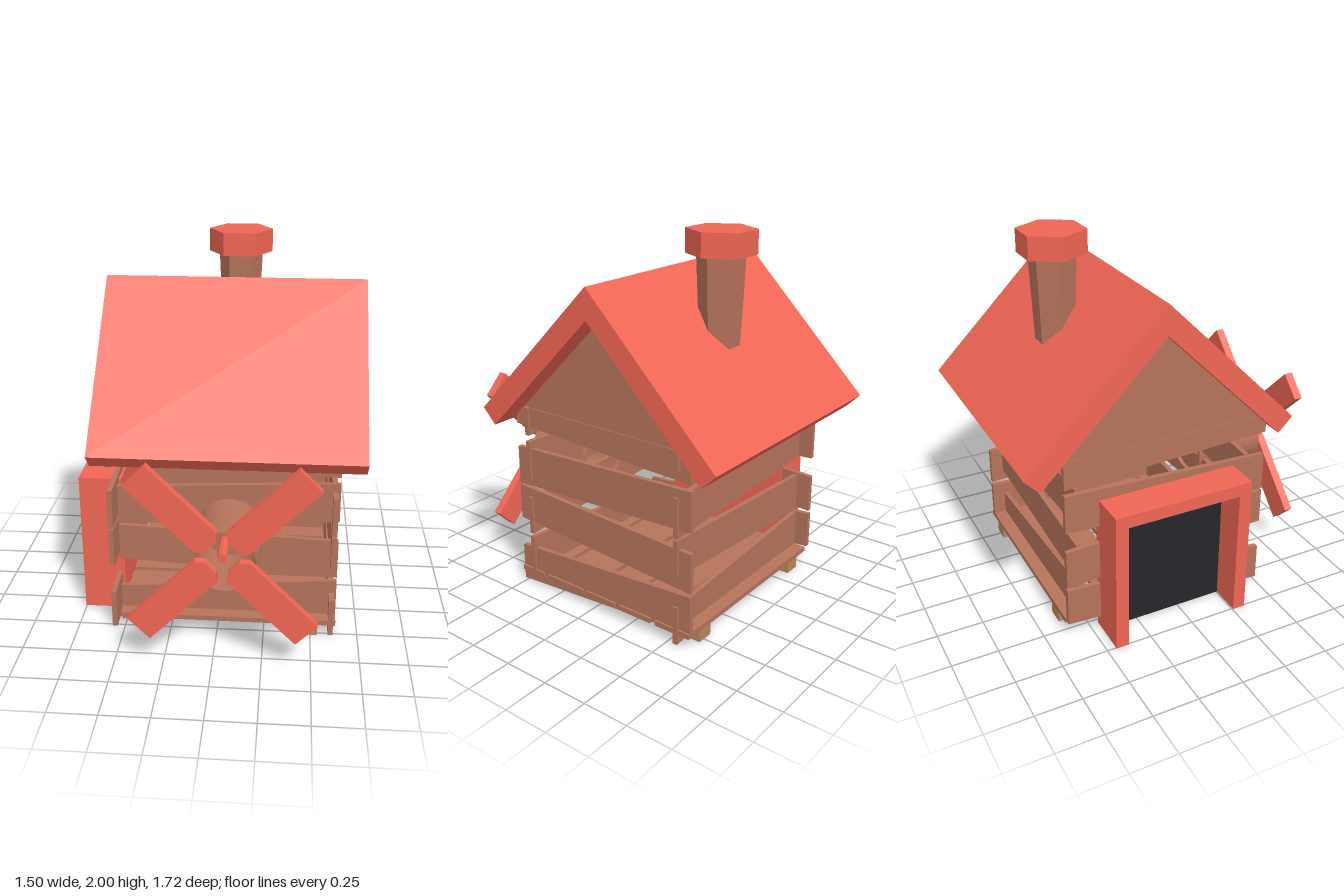
import * as THREE from 'three';
import { toCreasedNormals } from 'three/addons/utils/BufferGeometryUtils.js';

const mat = (color) => new THREE.MeshStandardMaterial({ color, flatShading: true });

export function createModel() {
  const model = new THREE.Group();
  const red = mat(0xf06654), brown = mat(0xb5735b), wood = mat(0xb58a5e), dark = mat(0x24262b);
  const tubeMat = new THREE.MeshStandardMaterial({ color: 0xb5735b });

  const add = (name, geometry, material, x = 0, y = 0, z = 0, parent = model) => {
    const mesh = new THREE.Mesh(geometry, material);
    mesh.name = name;
    mesh.position.set(x, y, z);
    parent.add(mesh);
    return mesh;
  };
  // Box given by its two extreme corners
  const block = (name, material, x0, x1, y0, y1, z0, z1, parent = model) =>
    add(name, new THREE.BoxGeometry(x1 - x0, y1 - y0, z1 - z0), material,
      (x0 + x1) / 2, (y0 + y1) / 2, (z0 + z1) / 2, parent);
  const outline = (points) => new THREE.Shape(points.map(([x, y]) => new THREE.Vector2(x, y)));
  const extrude = (shape, depth, curveSegments = 12) =>
    new THREE.ExtrudeGeometry(shape, { depth, bevelEnabled: false, curveSegments });

  // Crooked plank walls: [bottom, top] at the start and at the end of each plank
  const rows = [
    [0.005, 0.215, 0.085, 0.295],
    [0.385, 0.585, 0.315, 0.53],
    [0.595, 0.81, 0.645, 0.86],
    [0.945, 1.05, 0.895, 1.05],
  ];
  const wall = (name, x, z, turn, flip) => {
    const group = new THREE.Group();
    group.name = name;
    for (const [a0, a1, b0, b1] of rows) {
      const geometry = new THREE.BoxGeometry(1.155, 1, 0.027);
      const p = geometry.attributes.position;
      for (let i = 0; i < p.count; i++) {
        const start = (p.getX(i) < 0) !== flip, top = p.getY(i) > 0;
        p.setY(i, start ? (top ? a1 : a0) : (top ? b1 : b0));
      }
      geometry.computeVertexNormals();
      add('plank', geometry, brown, 0, 0, 0, group);
    }
    group.position.set(x, 0, z);
    group.rotation.y = turn;
    model.add(group);
  };
  wall('frontWall', 0.055, 0.436, 0, false);
  wall('backWall', 0.055, -0.55, 0, true);
  wall('leftWall', 0.607, -0.057, Math.PI / 2, false);
  wall('rightWall', -0.553, -0.057, Math.PI / 2, false);

  // Floor boards on two runners
  for (const [z0, z1] of [[0.36, 0.52], [0.07, 0.33], [-0.155, 0.04], [-0.39, -0.185], [-0.635, -0.42]])
    block('floorBoard', brown, -0.52, 0.632, 0.063, 0.09, z0, z1);
  for (const x of [-0.38, 0.49])
    block('runner', wood, x - 0.047, x + 0.047, 0, 0.063, -0.635, 0.52);

  // Gables and roof, drawn in (-z, y) and extruded along x
  const alongX = (name, points, x0, x1, material) => {
    const mesh = add(name, extrude(outline(points), x1 - x0), material, x0, 0, 0);
    mesh.rotation.y = Math.PI / 2;
  };
  const gable = [[-0.465, 1.05], [0.695, 1.05], [0.115, 1.63]];
  alongX('leftGable', gable, 0.59, 0.615, brown);
  alongX('rightGable', gable, -0.562, -0.537, brown);
  alongX('roof', [[-0.55, 0.965], [0.115, 1.63], [0.78, 0.965], [0.86, 1.045],
    [0.115, 1.79], [-0.63, 1.045]], -0.64, 0.75, red);

  // Six-sided chimney, wider at the top, with a cap
  const hex = (name, rTop, rBottom, y0, y1, material) => {
    const mesh = add(name, new THREE.CylinderGeometry(rTop, rBottom, y1 - y0, 6), material,
      0.065, (y0 + y1) / 2, -0.4);
    mesh.rotation.y = Math.PI / 6;
    mesh.geometry.rotateY(Math.PI / 3);
    mesh.rotation.y = Math.PI / 2;
    mesh.scale.x = 1.05;
  };
  hex('chimney', 0.12, 0.098, 1.36, 1.876, brown);
  hex('chimneyCap', 0.174, 0.174, 1.876, 2, red);

  // Doorway: projecting frame, red backing and dark opening
  const door = new THREE.Group();
  door.name = 'doorway';
  model.add(door);
  block('doorJamb', red, -0.755, -0.525, 0, 0.79, 0.255, 0.325, door);
  block('doorJamb', red, -0.755, -0.525, 0, 0.79, -0.45, -0.38, door);
  block('doorLintel', red, -0.755, -0.525, 0.72, 0.79, -0.38, 0.255, door);
  block('doorBacking', red, -0.56, -0.525, 0, 0.72, -0.38, 0.255, door);
  block('doorPanel', dark, -0.585, -0.56, 0, 0.72, -0.38, 0.255, door);

  // Open barrel behind the sails
  const ring = new THREE.Shape().absarc(0, 0, 0.174, 0, Math.PI * 2, false);
  ring.holes.push(new THREE.Path().absarc(0, 0, 0.152, 0, Math.PI * 2, true));
  add('barrel', toCreasedNormals(extrude(ring, 0.41, 20), 0.6), tubeMat, 0.065, 0.583, 0.4);

  // Windmill sails around a thin shaft
  const sails = new THREE.Group();
  sails.name = 'sails';
  sails.position.set(0.055, 0.64, 0.812);
  model.add(sails);
  const blade = extrude(outline([[0.08, -0.04], [0.112, -0.077], [0.59, -0.077],
    [0.59, 0.077], [0.112, 0.077], [0.08, 0.04]]), 0.046);
  for (let i = 0; i < 4; i++)
    add('blade', blade, red, 0, 0, 0, sails).rotation.z = Math.PI / 4 + i * Math.PI / 2;
  const shaft = new THREE.CylinderGeometry(0.025, 0.025, 0.42, 8);
  shaft.rotateX(Math.PI / 2);
  add('shaft', shaft, red, 0, 0, -0.164, sails);

  return model;
}
